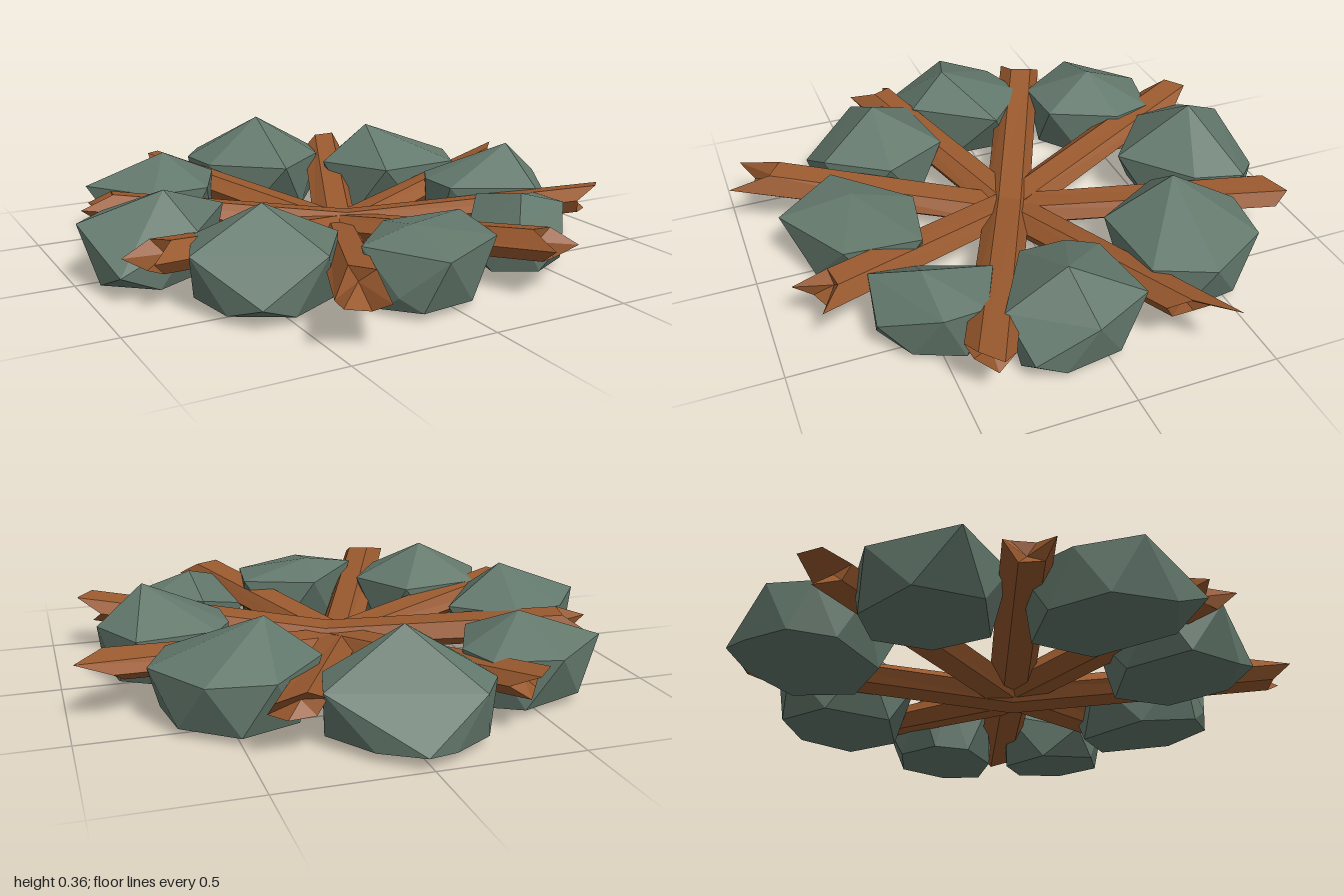
import * as THREE from 'three';
import { ConvexGeometry } from 'three/addons/geometries/ConvexGeometry.js';

const stoneGrey = new THREE.MeshStandardMaterial({ color: 0x63786c });
stoneGrey.name = 'stoneGrey';
const woodBrown = new THREE.MeshStandardMaterial({ color: 0x99592e });
woodBrown.name = 'woodBrown';

// Faceted stones: peak [x, y, z] and widest outline [x, z, optional y]
const STONES = [
  { peak: [-0.01, 0.37, -0.70], rim: [[0.02, -1.0, 0.05], [0.28, -0.79], [0.23, -0.61], [-0.01, -0.41], [-0.26, -0.62], [-0.28, -0.81], [-0.19, -0.94]] },
  { peak: [0.37, 0.35, -0.43], rim: [[0.39, -0.68], [0.61, -0.65], [0.75, -0.41], [0.66, -0.21], [0.33, -0.19], [0.18, -0.45]] },
  { peak: [0.69, 0.34, 0.11], rim: [[0.75, -0.15], [0.86, 0.07], [0.82, 0.27, 0.08], [0.68, 0.32], [0.40, 0.16], [0.40, -0.01], [0.46, -0.11]] },
  { peak: [0.45, 0.265, 0.52], rim: [[0.44, 0.27], [0.64, 0.36], [0.65, 0.51], [0.50, 0.69, 0.12], [0.33, 0.67], [0.24, 0.49, 0.12]] },
  { peak: [-0.07, 0.255, 0.62], rim: [[-0.04, 0.40], [0.24, 0.45, 0.22], [0.20, 0.72], [-0.09, 0.88], [-0.21, 0.78, 0.08], [-0.27, 0.65, 0.22]] },
  { peak: [-0.50, 0.335, 0.42], rim: [[-0.36, 0.19], [-0.23, 0.43], [-0.38, 0.65], [-0.62, 0.68, 0.08], [-0.76, 0.45], [-0.67, 0.24]] },
  { peak: [-0.70, 0.32, 0.07], rim: [[-0.63, -0.25], [-0.43, -0.07], [-0.64, 0.22], [-0.92, 0.26, 0.1], [-0.98, -0.01, 0.22], [-0.84, -0.18]] },
  { peak: [-0.50, 0.31, -0.50], rim: [[-0.55, -0.74], [-0.32, -0.69], [-0.28, -0.54], [-0.40, -0.29], [-0.62, -0.28], [-0.80, -0.53]] },
];

function makeStone({ peak, rim }) {
  const n = rim.length;
  const cx = rim.reduce((s, p) => s + p[0], 0) / n;
  const cz = rim.reduce((s, p) => s + p[1], 0) / n;
  const points = [new THREE.Vector3(...peak)];
  rim.forEach((p, i) => {
    const q = rim[(i + 1) % n];
    points.push(new THREE.Vector3(p[0], p[2] ?? 0.205, p[1]));
    // flat underside, tilted down towards the middle of the fire
    const x = cx + ((p[0] + q[0]) / 2 - cx) * 0.98;
    const z = cz + ((p[1] + q[1]) / 2 - cz) * 0.98;
    points.push(new THREE.Vector3(x, 0.06 * Math.max(0, Math.hypot(x, z) - 0.28), z));
  });
  return new THREE.Mesh(new ConvexGeometry(points), stoneGrey);
}

// Splintered ends: how far each of the six corners is set back
const FORK = [0, 0.11, 0.09, 0, 0.06, 0.06];
const DEEP_FORK = [0, 0.17, 0.15, 0, 0.06, 0.06];
const SPLIT = [0.15, 0.08, 0, 0.04, 0.1, 0.13];
const SPIKE = [0.2, 0.14, 0, 0.12, 0.18, 0.2];
const POINT = [0.11, 0.03, 0, 0.1, 0.05, 0.1];

// Logs lie on the stones and sag to the middle: ends [x, z], middle height
const LOGS = [
  { from: [-0.43, -0.88], to: [0.36, 0.88], low: 0.08, jags: [POINT, FORK] },
  { from: [0.40, -0.89], to: [-0.45, 0.98], low: 0.065, jags: [SPLIT, DEEP_FORK] },
  { from: [-0.86, -0.34], to: [0.88, 0.45], low: 0.095, jags: [FORK, POINT] },
  { from: [-0.89, 0.35], to: [0.99, -0.32], low: 0.075, jags: [FORK, SPIKE] },
];

function makeLog({ from, to, low, jags }) {
  const a = new THREE.Vector3(from[0], 0.18, from[1]);
  const b = new THREE.Vector3(to[0], 0.18, to[1]);
  const mid = a.clone().add(b).multiplyScalar(0.5).setY(low);
  const dir = b.clone().sub(a).normalize();
  const up = new THREE.Vector3(0, 1, 0);
  const side = dir.clone().cross(up);

  // six-sided ring, pushed along the log by a shift per corner
  const ring = (centre, shift) => Array.from({ length: 6 }, (_, k) => {
    const t = k * Math.PI / 3 + 0.15;
    return centre.clone().addScaledVector(side, Math.cos(t) * 0.083)
      .addScaledVector(up, Math.sin(t) * 0.055).addScaledVector(dir, shift(k));
  });
  const rings = [ring(a, k => jags[0][k]), ring(mid, () => 0), ring(b, k => -jags[1][k])];
  const capA = a.clone().addScaledVector(dir, Math.max(...jags[0]));
  const capB = b.clone().addScaledVector(dir, -Math.max(...jags[1]));

  const tris = [];
  for (let k = 0; k < 6; k++) {
    const n = (k + 1) % 6;
    for (let i = 0; i < 2; i++) {
      const r = rings[i], s = rings[i + 1];
      tris.push(r[k], s[k], r[n], r[n], s[k], s[n]);
    }
    tris.push(capA, rings[0][k], rings[0][n], capB, rings[2][n], rings[2][k]);
  }
  const geometry = new THREE.BufferGeometry().setFromPoints(tris);
  geometry.computeVertexNormals();
  return new THREE.Mesh(geometry, woodBrown);
}

export function createModel() {
  const model = new THREE.Group();
  model.name = 'campfire';

  const stones = new THREE.Group();
  stones.name = 'stoneRing';
  STONES.forEach((s, i) => {
    const mesh = makeStone(s);
    mesh.name = `stone${i + 1}`;
    stones.add(mesh);
  });

  const logs = new THREE.Group();
  logs.name = 'crossedLogs';
  LOGS.forEach((l, i) => {
    const mesh = makeLog(l);
    mesh.name = `log${i + 1}`;
    logs.add(mesh);
  });

  model.add(stones, logs);
  return model;
}
